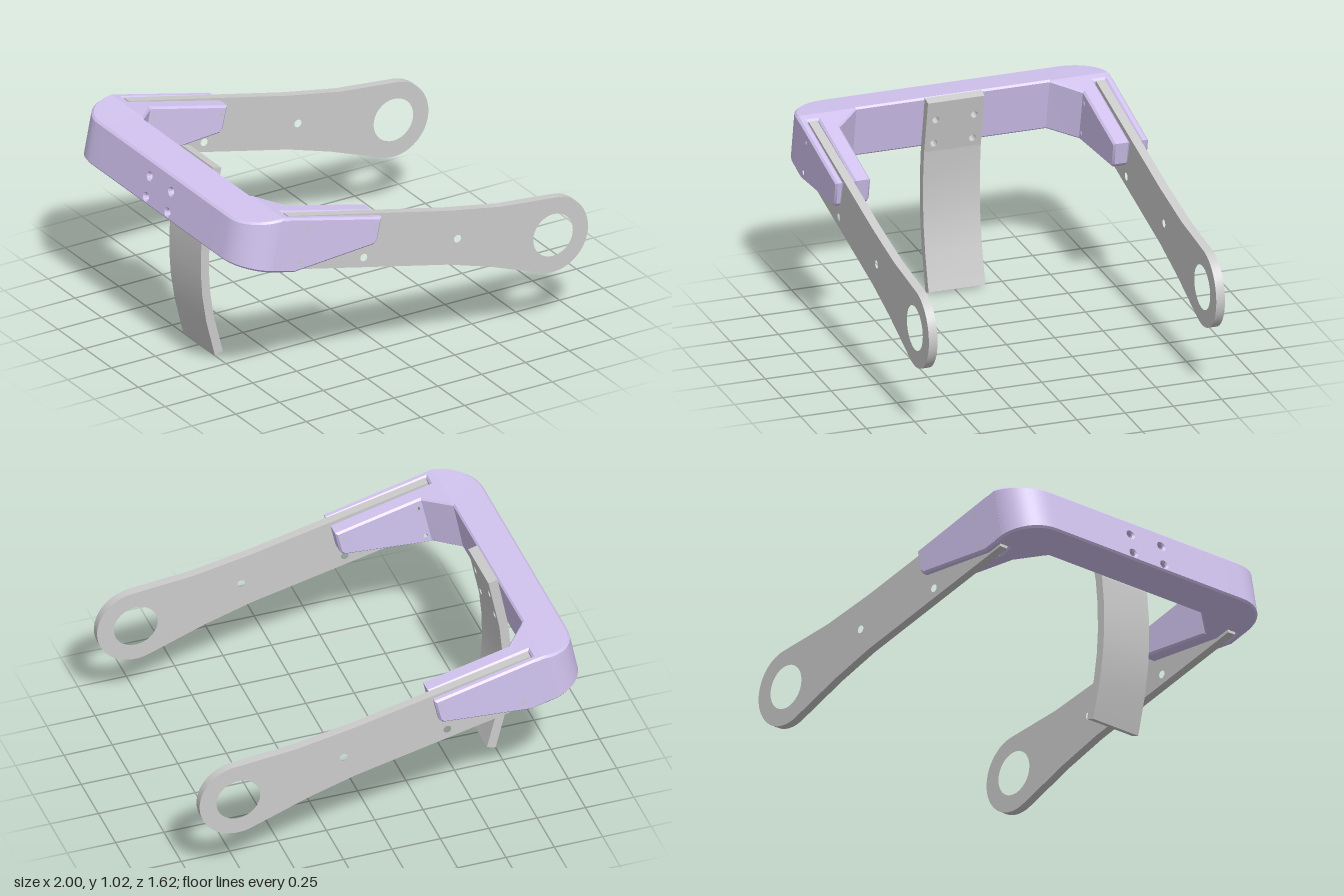
import * as THREE from 'three';
import { toCreasedNormals } from 'three/addons/utils/BufferGeometryUtils.js';

const grey = new THREE.MeshStandardMaterial({ color: 0xcccccc });
const lilac = new THREE.MeshStandardMaterial({ color: 0xd2c4f0 });

const H = 0.25;       // nominal bracket height
const BEVEL = 0.01;
const LERP = THREE.MathUtils.lerp;

// Piecewise linear curve through [u, x, y] knots, extrapolated at both ends
function along(knots, u) {
  let i = 0;
  while (i < knots.length - 2 && u > knots[i + 1][0]) i++;
  const [a, b] = [knots[i], knots[i + 1]];
  const t = (u - a[0]) / (b[0] - a[0]);
  return [LERP(a[1], b[1], t), LERP(a[2], b[2], t)];
}

// Tilted, tapering bracket space: u runs front to back, h from underside to top
const TOP = [[-0.955, -0.955, 1.005], [-0.76, -0.76, 1.022], [-0.2, -0.2, 0.887]];
const BOTTOM = [[-0.955, -1, 0.785], [-0.64, -0.7, 0.715], [-0.2, -0.228, 0.75]];
function bracketPoint(u, h) {
  const b = along(BOTTOM, u), t = along(TOP, u), v = h / H;
  return [LERP(b[0], t[0], v), LERP(b[1], t[1], v)];
}

function makeShape(points, holes = []) {
  const shape = new THREE.Shape(points.map(([x, y]) => new THREE.Vector2(x, y)));
  for (const [x, y, r] of holes) {
    shape.holes.push(new THREE.Path().absarc(x, y, r, 0, Math.PI * 2, true));
  }
  return shape;
}

// Extrusion that fills exactly from..to, bevels included
function extrude(shape, from, to, bevel = 0) {
  const geo = new THREE.ExtrudeGeometry(shape, {
    depth: to - from - 2 * bevel, curveSegments: 16,
    bevelEnabled: bevel > 0, bevelSize: bevel, bevelThickness: bevel,
    bevelOffset: -bevel, bevelSegments: 1,
  });
  return geo.translate(0, 0, from + bevel);
}

function mapVertices(geo, rule) {
  const p = geo.attributes.position;
  for (let i = 0; i < p.count; i++) p.setXYZ(i, ...rule(p.getX(i), p.getY(i), p.getZ(i)));
  return geo;
}

function addMesh(parent, name, geo, material) {
  const mesh = new THREE.Mesh(toCreasedNormals(geo, 0.5), material);
  mesh.name = name;
  parent.add(mesh);
  return mesh;
}

// Piece drawn in plan (u, z) and raised to the bracket's full height
function planPiece(points, side) {
  const shape = makeShape(points.map(([u, z]) => [u, -z * side]));
  return mapVertices(extrude(shape, 0, H, BEVEL), (u, z, h) => [...bracketPoint(u, h), -z]);
}

// Slab across z, drilled along u
function crossPiece(halfWidth, u0, u1, holes, bevel) {
  const w = halfWidth;
  const shape = makeShape([[-w, 0], [w, 0], [w, H], [-w, H]], holes);
  return mapVertices(extrude(shape, u0, u1, bevel), (z, h, u) => [...bracketPoint(u, h), -z]);
}

export function createModel() {
  const model = new THREE.Group();
  model.name = 'liftingFrame';

  const strapHoles = [];
  for (const z of [-0.1, 0.1]) for (const h of [0.04, 0.16]) strapHoles.push([z, h, 0.017]);
  const legHoles = [[-0.625, 0.935, 0.021], [-0.665, 0.762, 0.021], [-0.24, 0.847, 0.021]];

  // U-shaped bracket
  const bracket = new THREE.Group();
  bracket.name = 'bracket';
  model.add(bracket);
  addMesh(bracket, 'crossBar', crossPiece(0.51, -0.955, -0.76, strapHoles, BEVEL), lilac);

  // Rounded corner outline in plan
  const corner = [[-0.955, 0.49], [-0.76, 0.49], [-0.76, 0.5], [-0.75, 0.511], [-0.75, 0.81]];
  for (let i = 0; i <= 12; i++) {
    const a = (i / 12) * Math.PI / 2;
    corner.push([-0.76 - 0.195 * Math.sin(a), 0.61 + 0.2 * Math.cos(a)]);
  }
  // Chamfered gusset reaching to the end of the arm slot
  const gusset = [[-0.77, 0.81], [-0.715, 0.81], [-0.715, 0.714], [-0.63, 0.714],
    [-0.63, 0.63], [-0.64, 0.63], [-0.76, 0.5], [-0.77, 0.5]];

  // Side view of a leg cheek starting at u
  const cheek = (u) => {
    const pts = [bracketPoint(u, H), bracketPoint(-0.2, H), [-0.225, 0.77], [-0.245, 0.75]];
    pts.push(bracketPoint(-0.64, 0));
    if (u < -0.64) pts.push(bracketPoint(u, 0));
    return makeShape(pts, legHoles);
  };

  // Side arm with a ring at its end
  const armShape = makeShape([[-0.765, 0.73], [-0.71, 1.007], [0.2, 0.802], [0.5, 0.747]],
    [...legHoles, [-0.28, 0.672, 0.02], [0.255, 0.637, 0.02], [0.8, 0.517, 0.113]]);
  armShape.absarc(0.8, 0.517, 0.2, 1.48, -1.93, true);
  armShape.lineTo(0.44, 0.437);
  armShape.lineTo(0.2, 0.51);

  for (const side of [1, -1]) {
    const label = side > 0 ? 'front' : 'back';
    const span = (a, b) => (side > 0 ? [a, b] : [-b, -a]);
    addMesh(bracket, label + 'Corner', planPiece(corner, side), lilac);
    addMesh(bracket, label + 'Gusset', planPiece(gusset, side), lilac);
    addMesh(bracket, label + 'OuterCheek', extrude(cheek(-0.725), ...span(0.77, 0.81), BEVEL), lilac);
    addMesh(bracket, label + 'InnerCheek', extrude(cheek(-0.64), ...span(0.63, 0.714), BEVEL), lilac);
    addMesh(model, label + 'Arm', extrude(armShape, ...span(0.722, 0.767)), grey);
  }

  // Hanging strap: drilled upper plate and curved lower tail
  const strap = new THREE.Group();
  strap.name = 'strap';
  model.add(strap);
  addMesh(strap, 'strapPlate', crossPiece(0.147, -0.76, -0.713, strapHoles, 0), grey);
  const tail = makeShape([
    bracketPoint(-0.76, 0), [-0.828, 0.6], [-0.83, 0.46], [-0.822, 0.34], [-0.8, 0.2], [-0.75, 0],
    [-0.705, 0.015], [-0.755, 0.21], [-0.776, 0.34], [-0.784, 0.46], [-0.782, 0.6],
    bracketPoint(-0.713, 0),
  ]);
  addMesh(strap, 'strapTail', extrude(tail, -0.147, 0.147), grey);

  return model;
}
